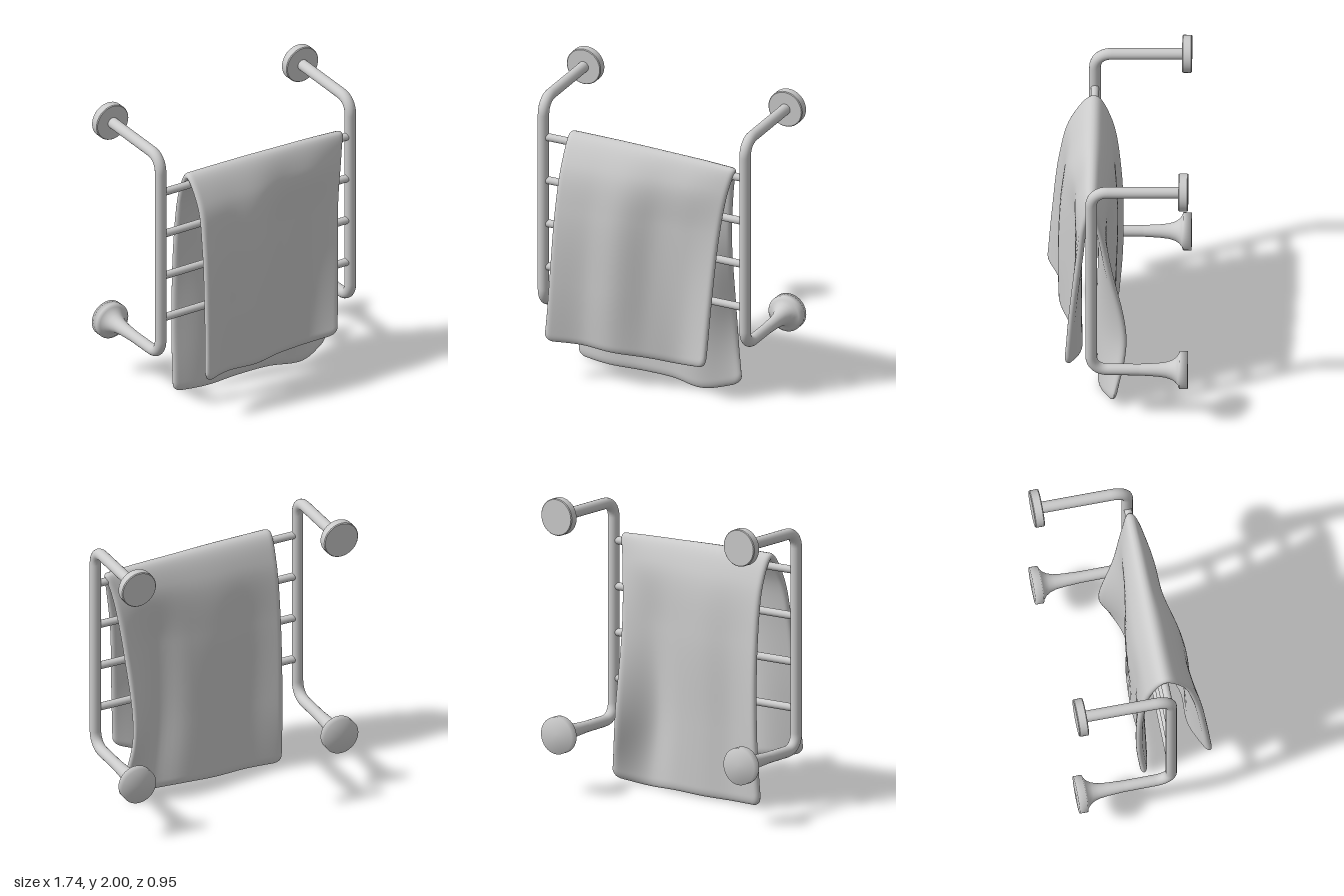
import * as THREE from 'three';

const material = new THREE.MeshStandardMaterial({ color: 0xcccccc });
const V = (x, y, z) => new THREE.Vector3(x, y, z);

const RAIL_X = 0.745, RAIL_Z = 0.163, TOP_Y = 1.875, LOW_Y = 0.4, WALL_Z = -0.475;

function add(parent, name, geometry) {
  const mesh = new THREE.Mesh(geometry, material);
  mesh.name = name;
  parent.add(mesh);
  return mesh;
}

// Upright with both ends bent back towards the wall
function railGeometry() {
  const bend = 0.11, path = new THREE.CurvePath();
  const corner = (a, c, b) => path.add(new THREE.CubicBezierCurve3(a, a.clone().lerp(c, 0.6), b.clone().lerp(c, 0.6), b));
  const top = TOP_Y - 0.007;
  const a = V(0, top, RAIL_Z - bend), b = V(0, top - bend, RAIL_Z);
  const c = V(0, LOW_Y + bend, RAIL_Z), d = V(0, LOW_Y, RAIL_Z - bend);
  path.add(new THREE.LineCurve3(V(0, TOP_Y, WALL_Z + 0.03), a));
  corner(a, V(0, top, RAIL_Z), b);
  path.add(new THREE.LineCurve3(b, c));
  corner(c, V(0, LOW_Y, RAIL_Z), d);
  path.add(new THREE.LineCurve3(d, V(0, LOW_Y, WALL_Z + 0.03)));
  return new THREE.TubeGeometry(path, 120, 0.038, 20);
}

// Wall flange: [radius, distance from wall], turned to face +z
function flangeGeometry(profile) {
  const g = new THREE.LatheGeometry(profile.map(p => new THREE.Vector2(...p)), 40);
  return g.rotateX(Math.PI / 2);
}
const DISC = [[0, 0], [0.12, 0], [0.12, 0], [0.125, 0.006], [0.125, 0.006], [0.125, 0.058], [0.125, 0.058], [0.12, 0.064], [0.12, 0.064], [0, 0.064]];
const FLARED = [[0, 0], [0.125, 0.002], [0.125, 0.058], [0.102, 0.066],
  [0.08, 0.085], [0.064, 0.11], [0.051, 0.15], [0.044, 0.21], [0.038, 0.32]];

// Towel control rows run from the front hem, over the top rung, to the back hem.
const ROW_Y = [0, 0.7, 1.2, 1.5, 0, 1.5, 1.1, 0.5, 0];
const HEM_FRONT = [0.285, 0.265, 0.252, 0.23, 0.215, 0.265];
const CREST = [1.668, 1.667, 1.664, 1.658, 1.652, 1.642];
const HEM_BACK = [0.014, 0.008, 0.01, 0.014, 0.003, 0.05];
const LEFT = [-0.58, -0.565, -0.55, -0.54, -0.545, -0.54, -0.54, -0.545, -0.555];
const RIGHT = [0.535, 0.56, 0.595, 0.64, 0.675, 0.64, 0.59, 0.57, 0.645];
const DEPTH = [
  [0.462, 0.37, 0.365, 0.29, 0.25, 0.33],
  [0.43, 0.365, 0.37, 0.28, 0.255, 0.295],
  [0.375, 0.345, 0.345, 0.265, 0.25, 0.24],
  [0.3, 0.29, 0.285, 0.25, 0.24, 0.205],
  [0.165, 0.165, 0.165, 0.165, 0.165, 0.165],
  [0.07, 0.07, 0.07, 0.08, 0.095, 0.125],
  [0.005, 0.035, 0.025, 0.05, 0.1, 0.05],
  [-0.012, 0.045, 0.035, 0.055, 0.11, -0.06],
  [0.02, 0.055, 0.045, 0.06, 0.1, 0.015],
];

function towelGeometry() {
  const N = 140, M = 44, HALF = 0.023;
  const columns = CREST.map((_, c) => new THREE.CatmullRomCurve3(DEPTH.map((row, r) => {
    const y = r === 0 ? HEM_FRONT[c] : r === 4 ? CREST[c] : r === 8 ? HEM_BACK[c] : ROW_Y[r];
    return V(THREE.MathUtils.lerp(LEFT[r], RIGHT[r], c / 5), y, row[c]);
  })));
  const acrossAt = s => new THREE.CatmullRomCurve3(columns.map(c => c.getPoint(s)));
  // Falls from one to zero in a round edge within the given margin
  const round = (t, margin) => {
    const d = Math.max(0, 1 - Math.min(t, 1 - t) / margin);
    return Math.sqrt(Math.max(0, 1 - d * d));
  };
  const ease = t => 0.5 - 0.5 * Math.cos(Math.PI * t);
  const pos = [], index = [], ring = 2 * M, e = 0.004;
  for (let i = 0; i <= N; i++) {
    const s = ease(i / N), s0 = Math.max(0, s - e), s1 = Math.min(1, s + e);
    const mid = acrossAt(s), before = acrossAt(s0), after = acrossAt(s1);
    const hem = Math.max(0, 1 - Math.min(s, 1 - s) / 0.06);
    for (let j = 0; j < ring; j++) {
      const u = ease(j <= M ? j / M : (ring - j) / M), side = j <= M ? 1 : -1;
      const across = mid.getPoint(Math.min(1, u + e)).sub(mid.getPoint(Math.max(0, u - e)));
      const along = after.getPoint(u).sub(before.getPoint(u));
      const normal = across.cross(along).normalize();
      const p = mid.getPoint(u).addScaledVector(normal, side * HALF * round(u, 0.025) * round(s, 0.015));
      // Rounded hem corners
      p.y += 0.05 * hem * (1 - round(u, 0.05));
      pos.push(p.x, Math.max(0, p.y), p.z);
      if (i < N) {
        const a = i * ring + j, b = i * ring + (j + 1) % ring;
        index.push(a, b, b + ring, a, b + ring, a + ring);
      }
    }
  }
  const g = new THREE.BufferGeometry();
  g.setAttribute('position', new THREE.Float32BufferAttribute(pos, 3));
  g.setIndex(index);
  g.computeVertexNormals();
  return g;
}

export function createModel() {
  const model = new THREE.Group();
  model.name = 'towelRack';

  // Side rails with their wall flanges
  const rail = railGeometry(), disc = flangeGeometry(DISC), flared = flangeGeometry(FLARED);
  for (const [side, x] of [['left', RAIL_X], ['right', -RAIL_X]]) {
    add(model, side + 'Rail', rail).position.x = x;
    add(model, side + 'UpperFlange', disc).position.set(x, TOP_Y, WALL_Z);
    add(model, side + 'LowerFlange', flared).position.set(x, LOW_Y, WALL_Z);
  }

  // Rungs
  const rung = new THREE.CylinderGeometry(0.026, 0.026, 2 * RAIL_X, 20).rotateZ(Math.PI / 2);
  [1.605, 1.295, 0.985, 0.675].forEach((y, i) => add(model, 'rung' + (i + 1), rung).position.set(0, y, RAIL_Z));

  // Towel draped over the top rung
  add(model, 'towel', towelGeometry());
  return model;
}
